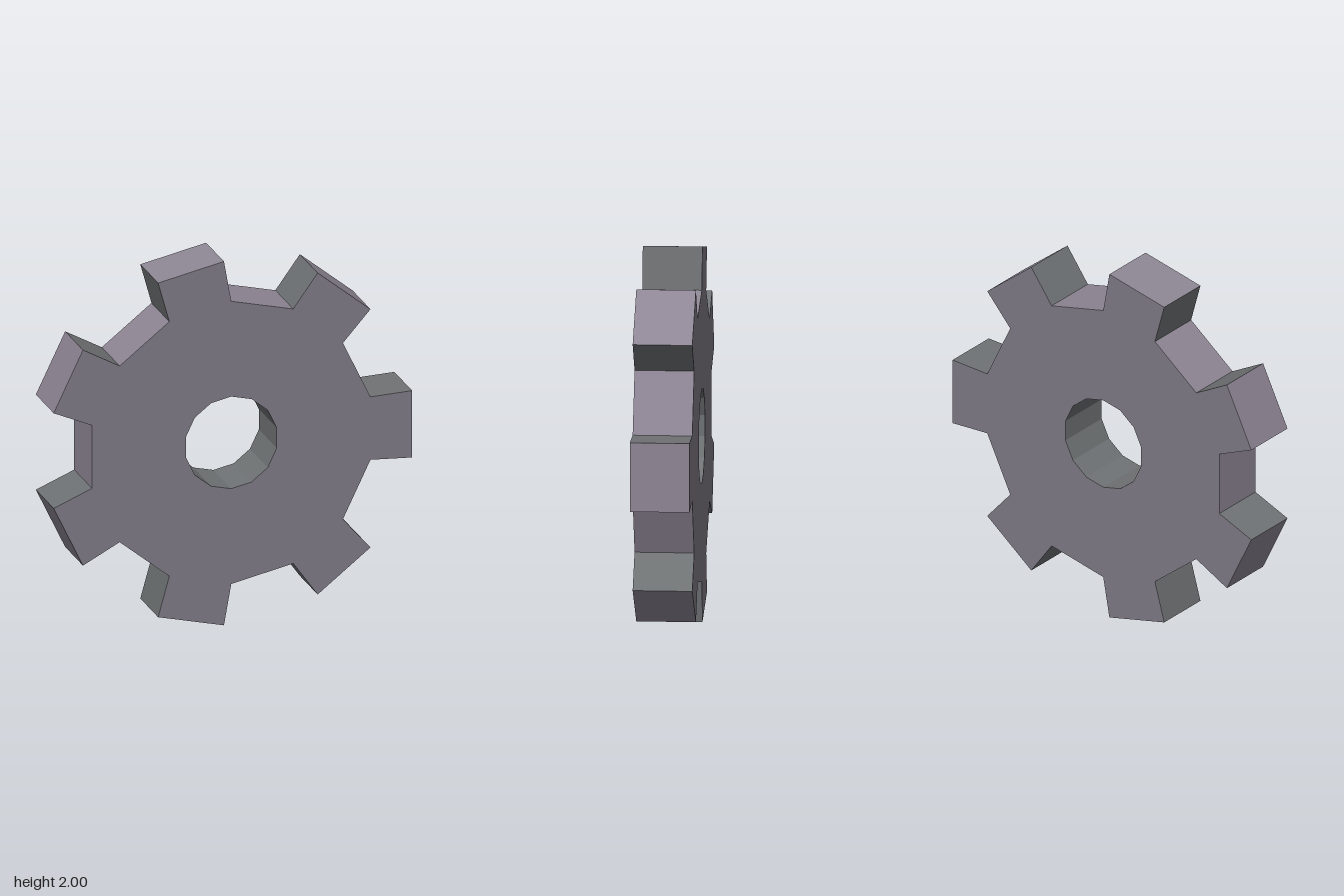
import * as THREE from 'three';
import { mergeGeometries } from 'three/addons/utils/BufferGeometryUtils.js';

const TEETH = 7;
const ROOT_RADIUS = 0.776;
const TIP_RADIUS = 1.0;
const TIP_HALF_ANGLE = 0.1845;
const HOLE_RADIUS = 0.253;
const THICKNESS = 0.31;

const polar = (radius, angle) =>
  new THREE.Vector2(radius * Math.cos(angle), radius * Math.sin(angle));

// Flat wall across the thickness, facing right of the direction from a to b
function wall(a, b) {
  const edge = b.clone().sub(a);
  return new THREE.PlaneGeometry(THICKNESS, edge.length())
    .rotateY(Math.PI / 2)
    .rotateZ(edge.angle() - Math.PI / 2)
    .translate((a.x + b.x) / 2, (a.y + b.y) / 2, 0);
}

export function createModel() {
  const group = new THREE.Group();
  group.name = 'gear';

  const makeMaterial = (color) => new THREE.MeshStandardMaterial({ color, flatShading: true });
  const faceMaterial = makeMaterial(0x7d7883);
  const rimMaterial = makeMaterial(0x8e8694);
  const flankMaterial = makeMaterial(0x6f7274);

  function addPart(name, geometries, material) {
    const geometry = mergeGeometries(geometries).translate(-0.01, 1, 0);
    const mesh = new THREE.Mesh(geometry, material);
    mesh.name = name;
    group.add(mesh);
  }

  // Each tooth rises from the 14-sided root and flares slightly
  const step = (Math.PI * 2) / TEETH;
  const rootHalf = step / 4;
  const outline = [];
  const bore = [];
  const rimWalls = [];
  const flankWalls = [];
  const boreWalls = [];
  for (let i = 0; i < TEETH; i++) {
    const a = i * step;
    const rootStart = polar(ROOT_RADIUS, a - rootHalf);
    const tipStart = polar(TIP_RADIUS, a - TIP_HALF_ANGLE);
    const tipEnd = polar(TIP_RADIUS, a + TIP_HALF_ANGLE);
    const rootEnd = polar(ROOT_RADIUS, a + rootHalf);
    const nextRoot = polar(ROOT_RADIUS, a + step - rootHalf);
    outline.push(rootStart, tipStart, tipEnd, rootEnd);
    rimWalls.push(wall(tipStart, tipEnd), wall(rootEnd, nextRoot));
    flankWalls.push(wall(rootStart, tipStart), wall(tipEnd, rootEnd));

    // Two sides of the bore per tooth, facing the axis
    const bore0 = polar(HOLE_RADIUS, a - rootHalf);
    const bore1 = polar(HOLE_RADIUS, a + rootHalf);
    const bore2 = polar(HOLE_RADIUS, a + step - rootHalf);
    bore.push(bore0, bore1);
    boreWalls.push(wall(bore1, bore0), wall(bore2, bore1));
  }

  // Front and back faces; the half turn about x maps the outline onto itself
  const shape = new THREE.Shape(outline);
  shape.holes.push(new THREE.Path(bore));
  const front = new THREE.ShapeGeometry(shape).translate(0, 0, THICKNESS / 2);
  const back = front.clone().rotateX(Math.PI);

  addPart('wheelFaces', [front, back], faceMaterial);
  addPart('toothTipsAndRoots', rimWalls, rimMaterial);
  addPart('toothFlanks', flankWalls, flankMaterial);
  addPart('axleBore', boreWalls, flankMaterial);
  return group;
}
